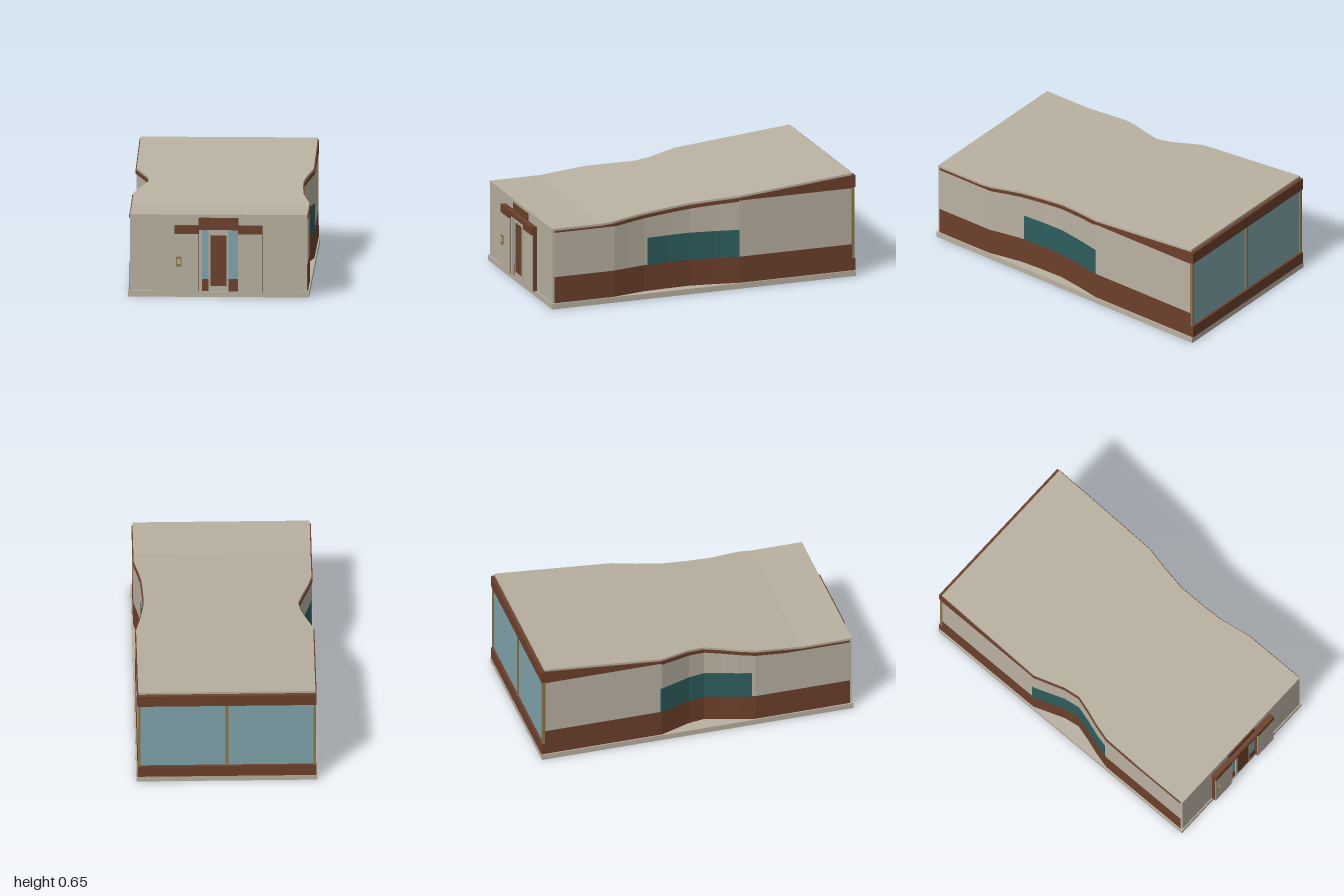
import * as THREE from 'three';

const paint = (name, color) => {
  const m = new THREE.MeshStandardMaterial({ color });
  m.name = name;
  return m;
};

// Piecewise linear lookup in a table of [z, value], z descending
function lookup(table, z) {
  if (z >= table[0][0]) return table[0][1];
  for (let i = 1; i < table.length; i++) {
    const [z0, v0] = table[i - 1], [z1, v1] = table[i];
    if (z >= z1) return v0 + (v1 - v0) * (z0 - z) / (z0 - z1);
  }
  return table[table.length - 1][1];
}

// Plan of the two pinched side walls and the heights along the building
const leftPlan = [[0.56, 0.538], [0.45, 0.515], [0.35, 0.497], [0.2, 0.488], [0.05, 0.486], [-0.1, 0.508], [-0.25, 0.538]];
const rightPlan = [[0.35, -0.538], [0.25, -0.513], [0.15, -0.48], [0.05, -0.452], [-0.05, -0.468], [-0.15, -0.505], [-0.24, -0.538]];
const roofTop = [[0.64, 0.505], [-0.98, 0.65]];
const wallTop = [[0.54, 0.482], [-0.249, 0.549], [-0.25, 0.556]];
const breaks = [0.64, 0.54, ...leftPlan.map(p => p[0]), ...rightPlan.map(p => p[0])];

// Solid that follows the plan between two z values, grown sideways by "out"
function loft(zFront, zBack, bottom, top, out) {
  const inner = breaks.filter(z => z < zFront && z > zBack);
  const zs = [...new Set([zFront, ...inner, zBack])].sort((a, b) => b - a);
  const rings = zs.map(z => {
    const l = lookup(rightPlan, z) - out, r = lookup(leftPlan, z) + out;
    const b = bottom(z), t = top(z);
    return [[l, b, z], [r, b, z], [r, t, z], [l, t, z]];
  });
  const pos = [];
  const quad = (a, b, c, d) => pos.push(...a, ...b, ...c, ...a, ...c, ...d);
  for (let i = 0; i + 1 < rings.length; i++) {
    const f = rings[i], k = rings[i + 1];
    quad(f[3], f[2], k[2], k[3]);
    quad(f[1], k[1], k[2], f[2]);
    quad(k[0], k[1], f[1], f[0]);
    quad(k[0], f[0], f[3], k[3]);
  }
  quad(...rings[0]);
  const e = rings[rings.length - 1];
  quad(e[1], e[0], e[3], e[2]);
  const g = new THREE.BufferGeometry();
  g.setAttribute('position', new THREE.Float32BufferAttribute(pos, 3));
  g.computeVertexNormals();
  return g;
}

export function createModel() {
  const group = new THREE.Group();
  const stone = paint('beige plaster', 0xb9b1a1);
  const brown = paint('brown cladding', 0x6c402b);
  const glass = paint('pale glass', 0x7fa5ab);
  const teal = paint('dark teal glass', 0x2d5d5d);
  const gold = paint('bronze frame', 0x8e7748);

  const add = (name, geometry, material) => {
    const mesh = new THREE.Mesh(geometry, material);
    mesh.name = name;
    group.add(mesh);
    return mesh;
  };
  // Box given by its limits
  const box = (name, mat, x0, x1, y0, y1, z0, z1) => {
    const mesh = add(name, new THREE.BoxGeometry(x1 - x0, y1 - y0, z1 - z0), mat);
    mesh.position.set((x0 + x1) / 2, (y0 + y1) / 2, (z0 + z1) / 2);
    return mesh;
  };
  const flat = y => () => y;
  const wallLine = z => lookup(wallTop, z);
  const roofLine = z => lookup(roofTop, z);

  // Floor slab and main body
  box('floorSlab', stone, -0.548, 0.548, 0, 0.035, -1, 0.965);
  add('lowerCladding', loft(0.945, -0.978, flat(0.035), flat(0.2), 0.002), brown);
  add('upperWalls', loft(0.945, -0.978, flat(0.2), wallLine, 0), stone);
  add('sideWindows', loft(0.33, -0.25, flat(0.2), flat(0.37), 0.004), teal);
  add('roofFascia', loft(0.945, -0.978, wallLine, z => roofLine(z) - 0.013, 0.005), brown);
  add('roof', loft(0.96, -0.98, z => roofLine(z) - 0.014, roofLine, -0.002), stone);

  // Front wall and entrance surround
  box('frontWall', stone, -0.536, 0.536, 0.035, 0.495, 0.944, 0.958);
  for (const s of [-1, 1]) {
    const a = s < 0 ? -0.265 : 0.12, b = a + 0.145;
    box('entrancePanel', brown, a, b, 0.035, 0.39, 0.958, 0.982);
    box('entrancePanelFace', stone, a, b, 0.035, 0.39, 0.982, 0.988);
    box('lintelEnd', brown, a, b, 0.39, 0.44, 0.958, 0.993);
  }
  box('lintel', brown, -0.12, 0.12, 0.415, 0.44, 0.958, 0.993);
  box('upperLintel', brown, -0.12, 0.12, 0.44, 0.485, 0.958, 0.966);

  // Door with side lights
  box('doorPost', stone, -0.119, -0.1, 0.035, 0.415, 0.958, 0.98);
  for (const [a, b] of [[-0.1, -0.06], [0.06, 0.12]]) {
    box('sideLight', glass, a, b, 0.11, 0.415, 0.958, 0.963);
    box('sideLightBase', brown, a, b, 0.035, 0.11, 0.958, 0.965);
  }
  box('door', stone, -0.061, 0.061, 0.042, 0.415, 0.958, 0.974);
  box('doorPanel', brown, -0.047, 0.047, 0.07, 0.38, 0.974, 0.977);

  // Entry intercom
  box('intercomFrame', gold, -0.256, -0.224, 0.192, 0.251, 0.988, 0.996);
  box('intercomFace', stone, -0.25, -0.23, 0.207, 0.238, 0.996, 1.0);

  // Glazed back wall
  box('backSill', brown, -0.541, 0.541, 0.035, 0.11, -1, -0.976);
  box('backFascia', brown, -0.541, 0.541, 0.56, 0.634, -1, -0.976);
  box('backGlass', glass, -0.534, 0.534, 0.11, 0.56, -0.985, -0.976);
  for (const x of [-0.531, 0, 0.531]) {
    box('backMullion', gold, x - 0.008, x + 0.008, 0.11, 0.56, -0.994, -0.976);
  }
  return group;
}
